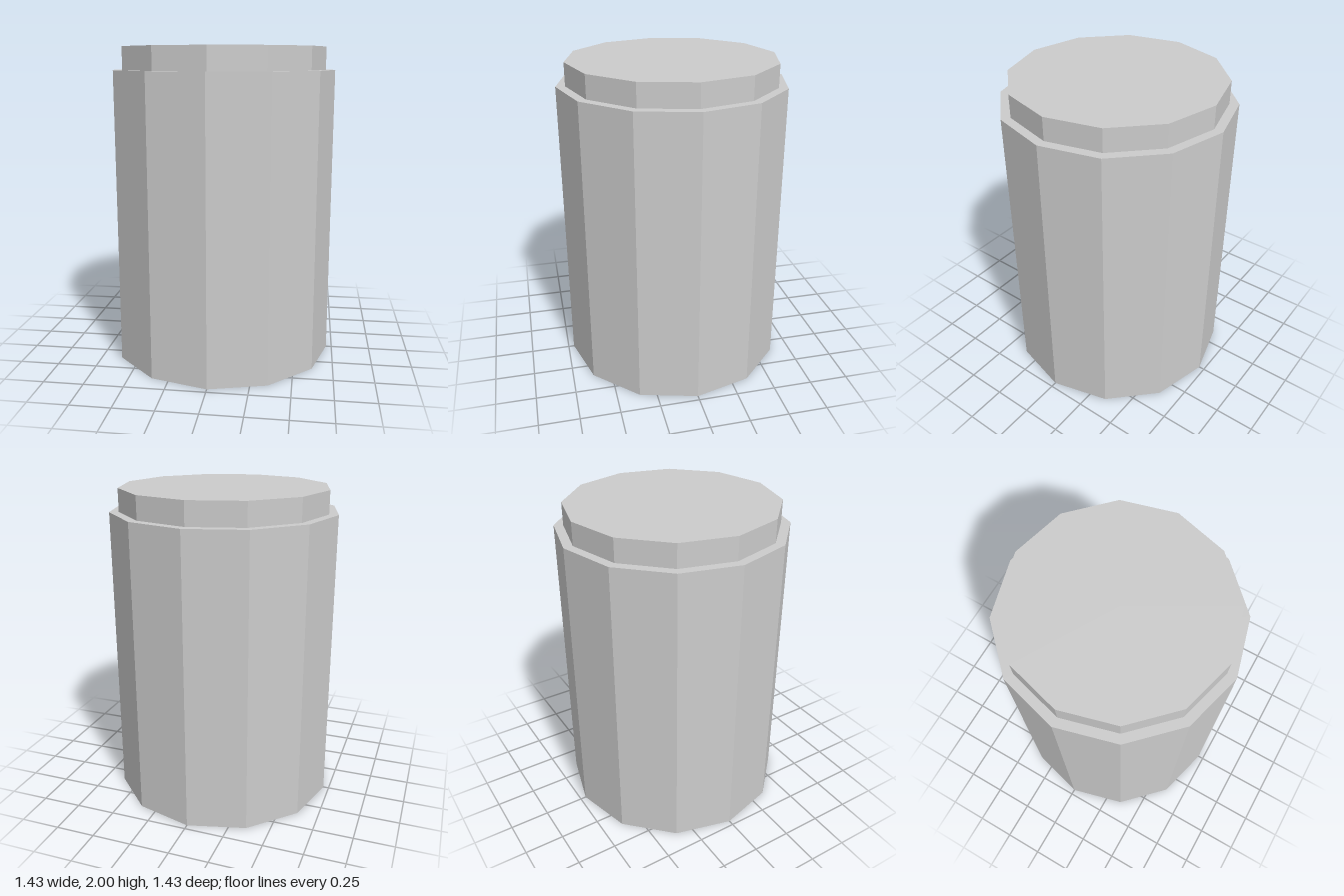
import * as THREE from 'three';

const SIDES = 12;

export function createModel() {
  const group = new THREE.Group();
  const material = new THREE.MeshStandardMaterial({ color: 0xcccccc, flatShading: true });

  // Twelve-sided drum standing between two heights
  const addDrum = (name, radius, bottom, top) => {
    const geometry = new THREE.CylinderGeometry(radius, radius, top - bottom, SIDES);
    const mesh = new THREE.Mesh(geometry, material);
    mesh.name = name;
    mesh.position.y = (bottom + top) / 2;
    group.add(mesh);
  };

  addDrum('body', 0.714, 0, 1.857);
  // Narrower lid on top of the body
  addDrum('lid', 0.656, 1.857, 2);

  return group;
}
